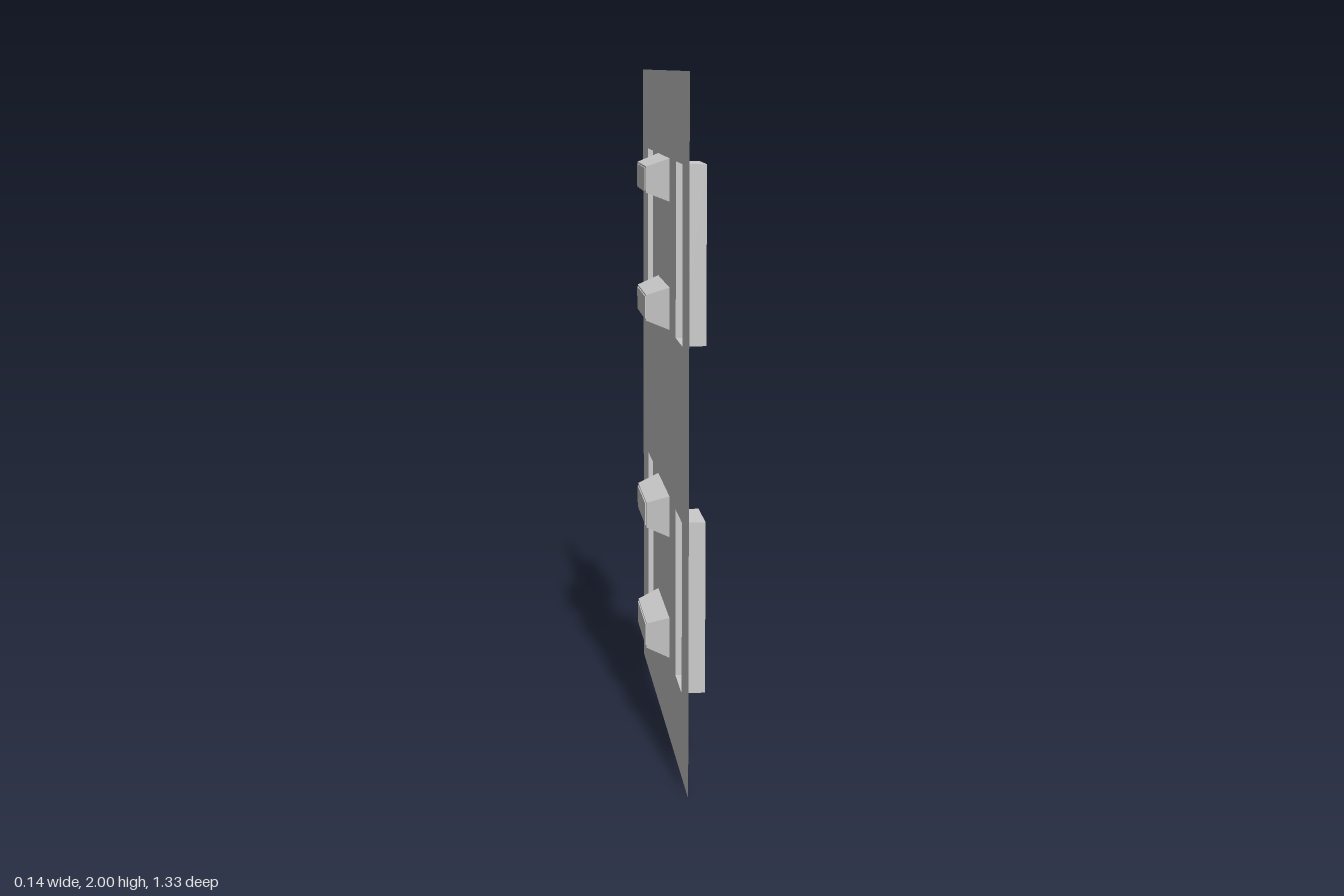
import * as THREE from 'three';

const material = new THREE.MeshStandardMaterial({
  color: 0xcccccc, flatShading: true, side: THREE.DoubleSide,
});

// Four corners of a rectangle facing x, as [z, y] signs
const CORNERS = [[-1, -1], [1, -1], [1, 1], [-1, 1]];

// Hollow pressed shape: rectangular rings [x, halfZ, halfY] joined by walls, closed at the last ring
function pressedShape(name, y, z, rings) {
  const loops = rings.map(([x, hz, hy]) => CORNERS.map(([sz, sy]) => [x, y + sy * hy, z + sz * hz]));
  const points = [];
  const quad = (a, b, c, d) => points.push(...a, ...b, ...c, ...a, ...c, ...d);
  for (let r = 0; r + 1 < loops.length; r++) {
    for (let i = 0; i < 4; i++) {
      const j = (i + 1) % 4;
      quad(loops[r][i], loops[r][j], loops[r + 1][j], loops[r + 1][i]);
    }
  }
  quad(...loops[loops.length - 1]);
  const geometry = new THREE.BufferGeometry();
  geometry.setAttribute('position', new THREE.Float32BufferAttribute(points, 3));
  geometry.computeVertexNormals();
  const mesh = new THREE.Mesh(geometry, material);
  mesh.name = name;
  return mesh;
}

export function createModel() {
  const group = new THREE.Group();
  group.name = 'embossedPanel';

  // Flat sheet outline, drawn with z across and y up
  const sheet = new THREE.Shape();
  sheet.moveTo(-0.667, 0).lineTo(0.667, 0).lineTo(0.667, 2).lineTo(-0.667, 2).closePath();

  // Cuts the mouth of a pressed shape out of the sheet and adds the shape
  const press = (name, y, z, rings) => {
    const [, hz, hy] = rings[0];
    const hole = new THREE.Path();
    hole.moveTo(z - hz, y - hy).lineTo(z - hz, y + hy).lineTo(z + hz, y + hy).lineTo(z + hz, y - hy).closePath();
    sheet.holes.push(hole);
    group.add(pressedShape(name, y, z, rings));
  };

  for (const base of [0, 1]) {
    // Tall straight-sided blocks raised towards +x
    for (const side of [-1, 1]) {
      press('raisedBlock', base + 0.5, side * 0.4165, [[0, 0.0835, 0.25], [0.067, 0.0835, 0.25]]);
    }
    // Tapered bars raised towards -x, with a shallow step on the end face
    for (const y of [0.3125, 0.6875]) {
      press('taperedBar', base + y, 0, [
        [0, 0.167, 0.0625], [-0.066, 0.138, 0.038],
        [-0.066, 0.125, 0.033], [-0.069, 0.125, 0.033],
      ]);
    }
  }

  const plate = new THREE.Mesh(new THREE.ShapeGeometry(sheet).rotateY(-Math.PI / 2), material);
  plate.name = 'sheet';
  group.add(plate);
  return group;
}
